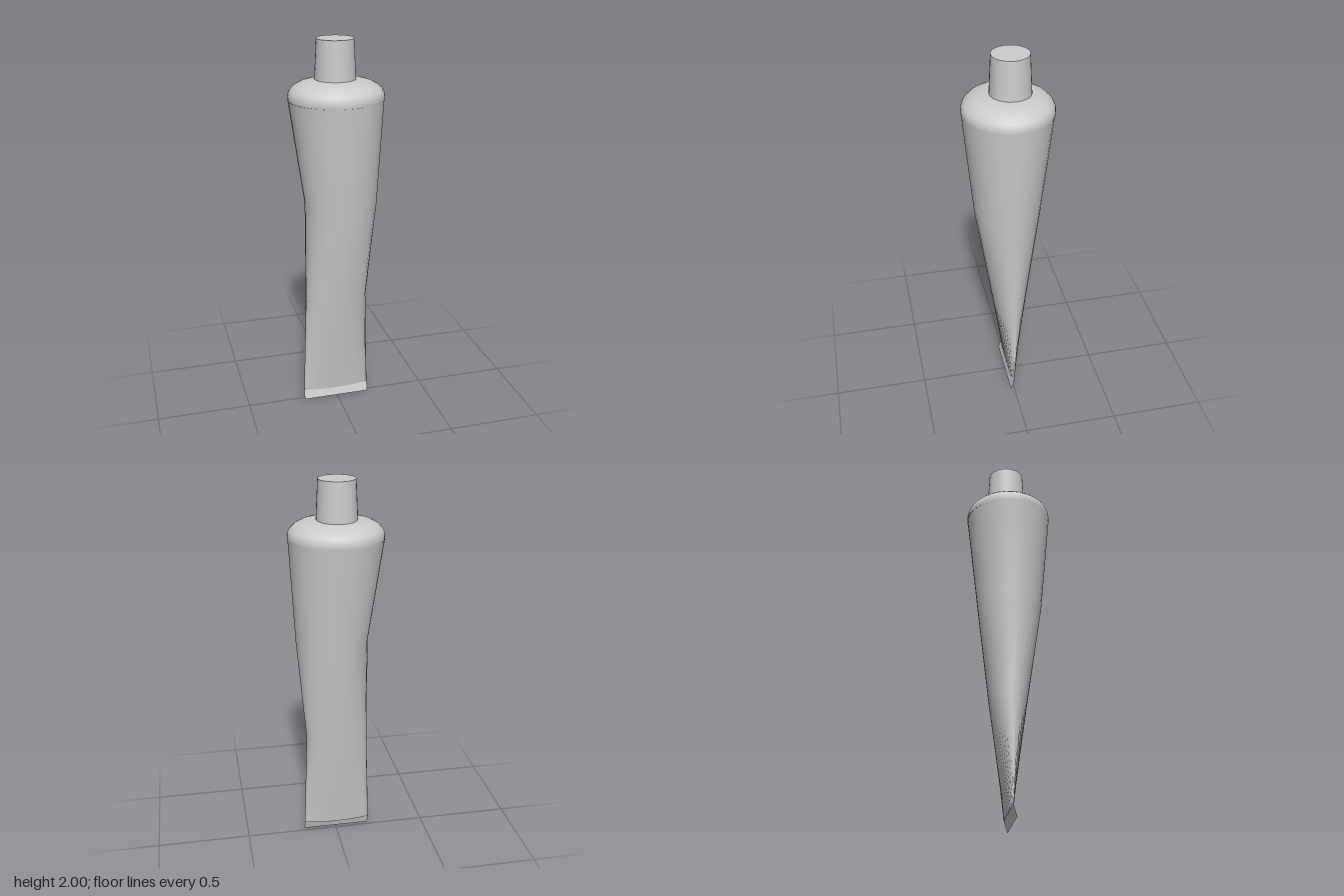
import * as THREE from 'three';

const material = new THREE.MeshStandardMaterial({ color: 0xcccccc, side: THREE.DoubleSide });
const SIDES = 32;

// Skin of elliptical rings, each { y, x: [min, max], z: [min, max], sag }
function loft(rings) {
  const positions = [], indices = [];
  rings.forEach(({ y, x, z, sag = 0 }, j) => {
    for (let i = 0; i < SIDES; i++) {
      const a = (i / SIDES) * Math.PI * 2;
      positions.push(
        (x[0] + x[1]) / 2 + ((x[1] - x[0]) / 2) * Math.cos(a),
        y - sag * Math.abs(Math.sin(a)),
        (z[0] + z[1]) / 2 + ((z[1] - z[0]) / 2) * Math.sin(a)
      );
      if (j === rings.length - 1) continue;
      const p = j * SIDES + i, q = j * SIDES + ((i + 1) % SIDES);
      indices.push(p, p + SIDES, q, q, p + SIDES, q + SIDES);
    }
  });
  const geometry = new THREE.BufferGeometry();
  geometry.setAttribute('position', new THREE.Float32BufferAttribute(positions, 3));
  geometry.setIndex(indices);
  geometry.computeVertexNormals();
  return geometry;
}

export function createModel() {
  const group = new THREE.Group();
  const add = (name, geometry) => {
    const mesh = new THREE.Mesh(geometry, material);
    mesh.name = name;
    group.add(mesh);
    return mesh;
  };

  // Squeezed tube body, flattening towards the foot
  add('tubeBody', loft([
    { y: 0.06, x: [-0.187, 0.179], z: [-0.007, 0.012], sag: 0.015 },
    { y: 0.61, x: [-0.169, 0.163], z: [-0.096, 0.096] },
    { y: 1.16, x: [-0.167, 0.21], z: [-0.16, 0.181] },
    { y: 1.7, x: [-0.243, 0.241], z: [-0.226, 0.228] },
  ]));

  // Rounded shoulder
  const profile = [
    [0.242, 1.7], [0.244, 1.715], [0.241, 1.735], [0.231, 1.753], [0.21, 1.772],
    [0.18, 1.787], [0.145, 1.796], [0.105, 1.801], [0.05, 1.802],
  ].map(([r, y]) => new THREE.Vector2(r, y));
  add('shoulder', new THREE.LatheGeometry(profile, SIDES)).scale.z = 0.94;

  // Tapered cap with a flat top
  add('cap', new THREE.CylinderGeometry(0.094, 0.104, 0.205, SIDES)).position.set(-0.002, 1.8975, -0.012);

  // Thin crimped strip at the foot, bent slightly forward
  const crimp = new THREE.PlaneGeometry(0.367, 0.06);
  const p = crimp.attributes.position;
  for (let i = 0; i < p.count; i++) p.setZ(i, p.getY(i) < 0 ? 0.02 : 0.002);
  crimp.computeVertexNormals();
  add('crimpedEnd', crimp).position.set(-0.004, 0.03, 0);

  return group;
}
